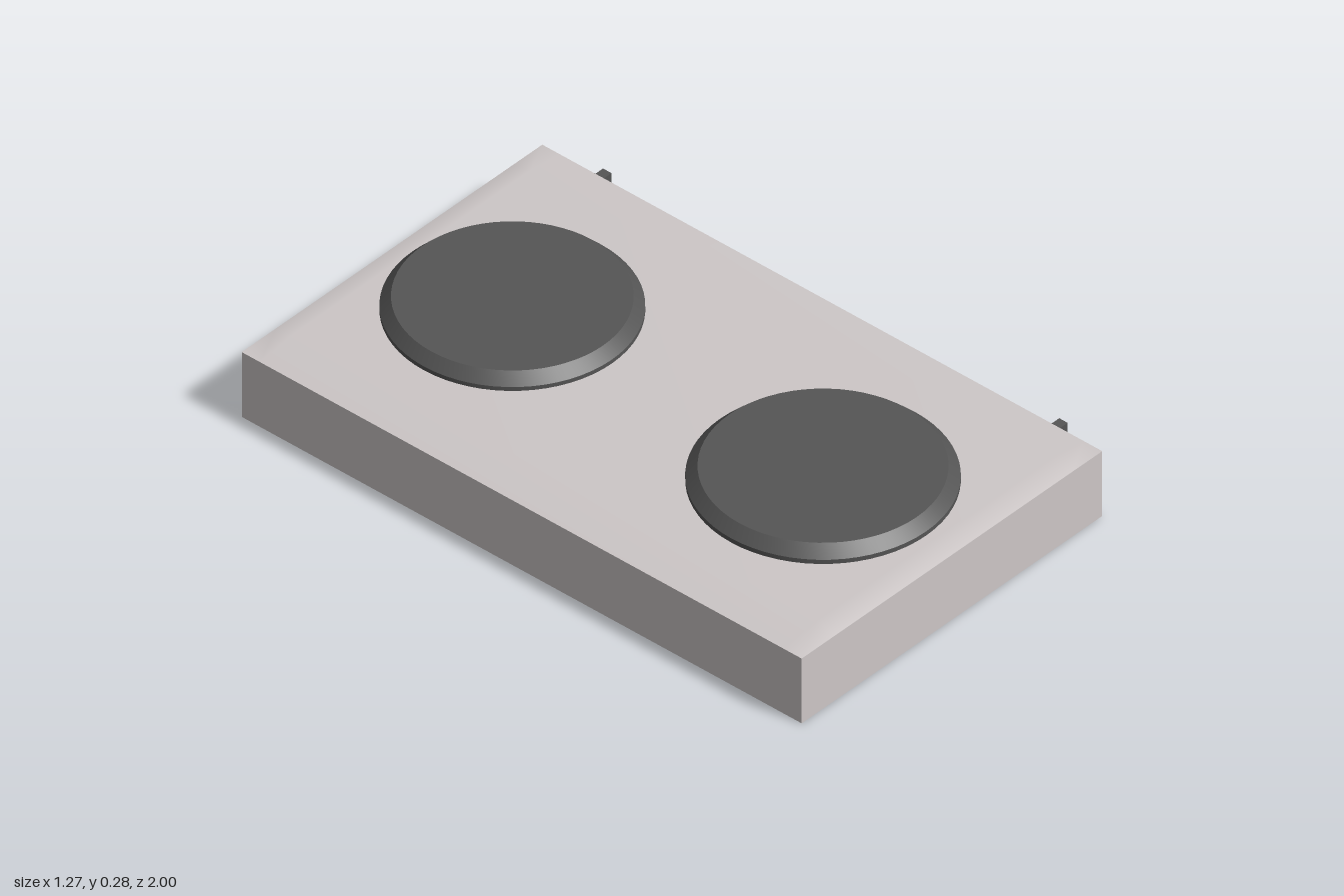
import * as THREE from 'three';
import { toCreasedNormals } from 'three/addons/utils/BufferGeometryUtils.js';

const material = (color) => new THREE.MeshStandardMaterial({ color });

function addMesh(parent, name, geometry, mat, x = 0, y = 0, z = 0) {
  const mesh = new THREE.Mesh(geometry, mat);
  mesh.name = name;
  mesh.position.set(x, y, z);
  parent.add(mesh);
  return mesh;
}

// Gently raised top sheet: a 3 x 3 grid whose inner corners are lifted
function raisedTop(xs, zs, edgeY, topY) {
  const geometry = new THREE.PlaneGeometry(1, 1, 3, 3).rotateX(-Math.PI / 2);
  const pos = geometry.attributes.position;
  for (let i = 0; i < pos.count; i++) {
    const col = i % 4, row = Math.floor(i / 4);
    const inner = col % 3 !== 0 && row % 3 !== 0;
    pos.setXYZ(i, xs[col], inner ? topY : edgeY, zs[row]);
  }
  geometry.computeVertexNormals();
  return geometry;
}

// Round hot plate with a short rim and a chamfered edge
function hotPlate(radius, topRadius) {
  const profile = [[0, 0], [radius, 0], [radius, 0.018], [topRadius, 0.05], [0, 0.05]]
    .map(([r, y]) => new THREE.Vector2(r, y));
  return toCreasedNormals(new THREE.LatheGeometry(profile, 64), 0.4);
}

export function createModel() {
  const group = new THREE.Group();
  const steel = material(0xcdc7c7);
  const iron = material(0x555555);
  const black = material(0x2e2c2c);

  // Housing
  const left = -0.635, right = 0.57, height = 0.22;
  const centreX = (left + right) / 2;
  addMesh(group, 'housing', new THREE.BoxGeometry(right - left, height - 0.001, 2), steel,
    centreX, (height - 0.001) / 2, 0);
  addMesh(group, 'raisedTop',
    raisedTop([left, -0.5, 0.45, right], [-1, -0.935, 0.935, 1], height, 0.237), steel);

  // Hot plates
  addMesh(group, 'frontHotPlate', hotPlate(0.368, 0.335), iron, -0.033, 0.233, 0.54);
  addMesh(group, 'rearHotPlate', hotPlate(0.355, 0.324), iron, -0.033, 0.232, -0.57);

  // Dark panel between the knobs
  addMesh(group, 'controlPanel', new THREE.BoxGeometry(0.01, 0.118, 0.67), black,
    right - 0.003, 0.104, -0.035);

  // Control knobs: a disc with an upright grip
  for (const [name, z] of [['frontKnob', 0.805], ['rearKnob', -0.825]]) {
    const knob = new THREE.Group();
    knob.name = name;
    knob.position.set(right, 0.109, z);
    addMesh(knob, 'knobDisc',
      new THREE.CylinderGeometry(0.08, 0.08, 0.032, 40).rotateZ(-Math.PI / 2), iron, 0.016);
    addMesh(knob, 'knobGrip', new THREE.BoxGeometry(0.035, 0.146, 0.03), iron, 0.0465, 0.003);
    group.add(knob);
  }
  return group;
}
